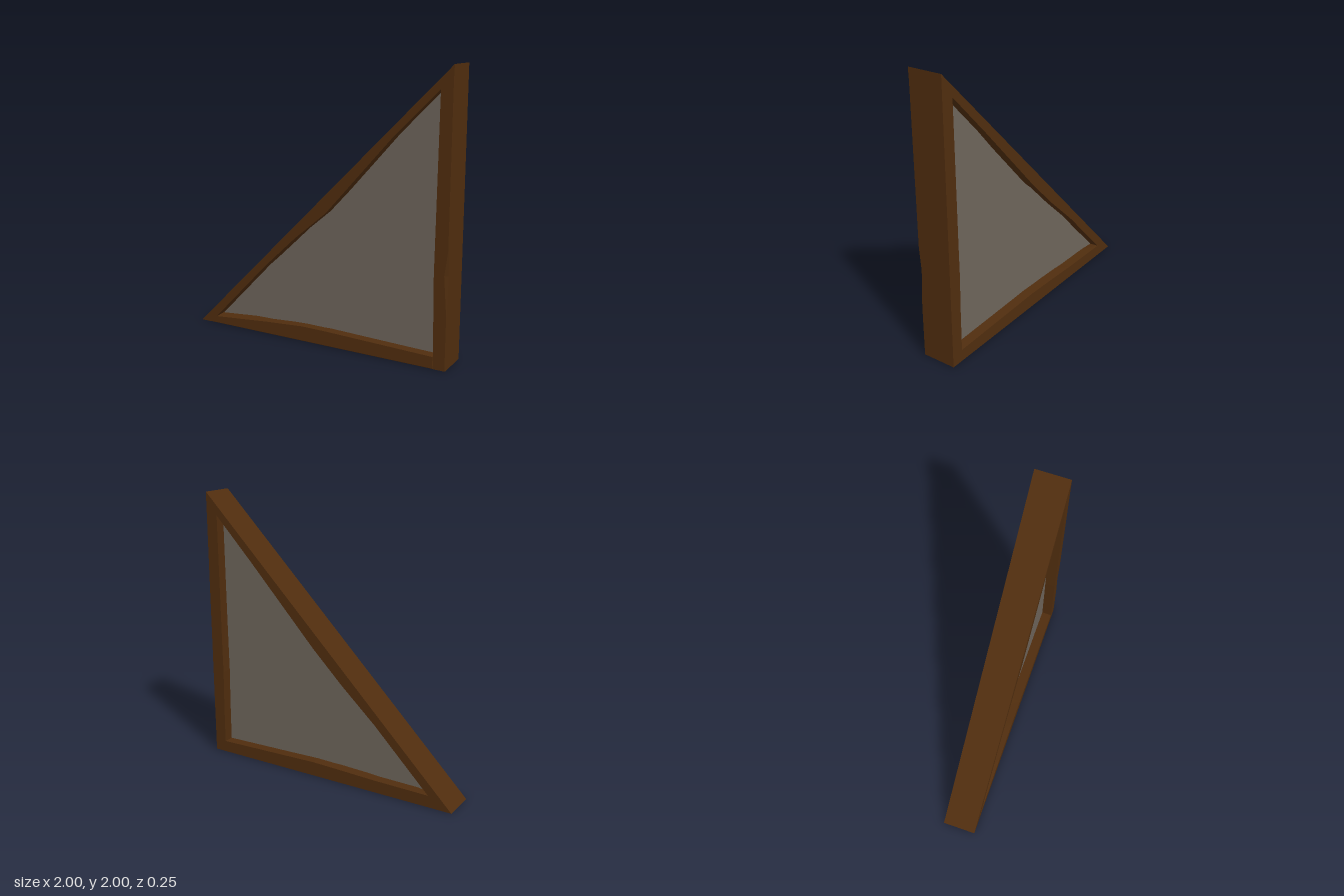
import * as THREE from 'three';

const HALF = 0.125; // half depth of the frame

// Hewn beam lofted through stations, walking anticlockwise round the frame.
// Station: [outer xy, inner xy at front, inner xy at back, chip on outer front edge]
function beam(name, material, stations) {
  const rings = stations.map(([o, f, b, chip = 0.003]) => {
    const dx = f[0] - o[0], dy = f[1] - o[1], len = Math.hypot(dx, dy);
    return [
      [o[0], o[1], -HALF],
      [b[0], b[1], -HALF],
      [f[0], f[1], HALF],
      [o[0] + (dx / len) * chip, o[1] + (dy / len) * chip, HALF],
      [o[0], o[1], HALF - chip * 0.6],
    ];
  });
  const pos = [];
  const tri = (a, b, c) => pos.push(...a, ...b, ...c);
  for (let i = 0; i < rings.length - 1; i++) {
    const r = rings[i], s = rings[i + 1];
    for (let j = 0; j < 5; j++) {
      const k = (j + 1) % 5;
      tri(r[j], r[k], s[k]);
      tri(r[j], s[k], s[j]);
    }
  }
  // end caps
  const first = rings[0], last = rings[rings.length - 1];
  for (let j = 1; j < 4; j++) {
    tri(first[0], first[j + 1], first[j]);
    tri(last[0], last[j], last[j + 1]);
  }
  const geo = new THREE.BufferGeometry();
  geo.setAttribute('position', new THREE.Float32BufferAttribute(pos, 3));
  geo.computeVertexNormals();
  const mesh = new THREE.Mesh(geo, material);
  mesh.name = name;
  return mesh;
}

export function createModel() {
  const group = new THREE.Group();
  group.name = 'triangularWallPanel';
  const wood = new THREE.MeshStandardMaterial({ color: 0x502d0e });
  wood.name = 'dark wood';
  const plaster = new THREE.MeshStandardMaterial({ color: 0x6e655b });
  plaster.name = 'grey plaster';

  // bottom sill, swelling near the middle
  group.add(beam('bottomBeam', wood, [
    [[-0.91, 0], [-0.87, 0.05], [-0.83, 0.085]],
    [[-0.4, 0], [-0.4, 0.09], [-0.4, 0.09]],
    [[-0.1, 0], [-0.1, 0.11], [-0.1, 0.1]],
    [[0.1, 0], [0.1, 0.108], [0.1, 0.105]],
    [[0.91, 0], [0.91, 0.085], [0.91, 0.085]],
  ]));

  // upright post with a chipped front edge
  group.add(beam('post', wood, [
    [[1, 0], [0.915, 0], [0.91, 0]],
    [[1, 0.38], [0.908, 0.38], [0.908, 0.38]],
    [[1, 0.65], [0.903, 0.65], [0.903, 0.65], 0.025],
    [[1, 0.82], [0.905, 0.82], [0.905, 0.82]],
    [[1, 1.93], [0.915, 1.845], [0.91, 1.84]],
  ]));

  // sloping beam, thickest at the middle; inner edge lies "drop" below the outer edge
  const slope = (x, front, back) => [
    [x, x + 1], [x + front / 2, x + 1 - front / 2], [x + back / 2, x + 1 - back / 2],
  ];
  group.add(beam('slopingBeam', wood, [
    [[1, 2], [1, 1.93], [1, 1.93]],
    slope(0.56, 0.07, 0.085),
    slope(0.03, 0.13, 0.12),
    slope(-0.2, 0.09, 0.115),
    slope(-0.45, 0.075, 0.09),
    [[-1, 0], [-0.91, 0], [-0.91, 0]],
  ]));

  // recessed infill
  const shape = new THREE.Shape([
    new THREE.Vector2(-0.9, 0.05),
    new THREE.Vector2(0.95, 0.05),
    new THREE.Vector2(0.95, 1.9),
  ]);
  const infill = new THREE.Mesh(
    new THREE.ExtrudeGeometry(shape, { depth: 0.1, bevelEnabled: false }), plaster);
  infill.position.z = -0.05;
  infill.name = 'infillPanel';
  group.add(infill);

  return group;
}
